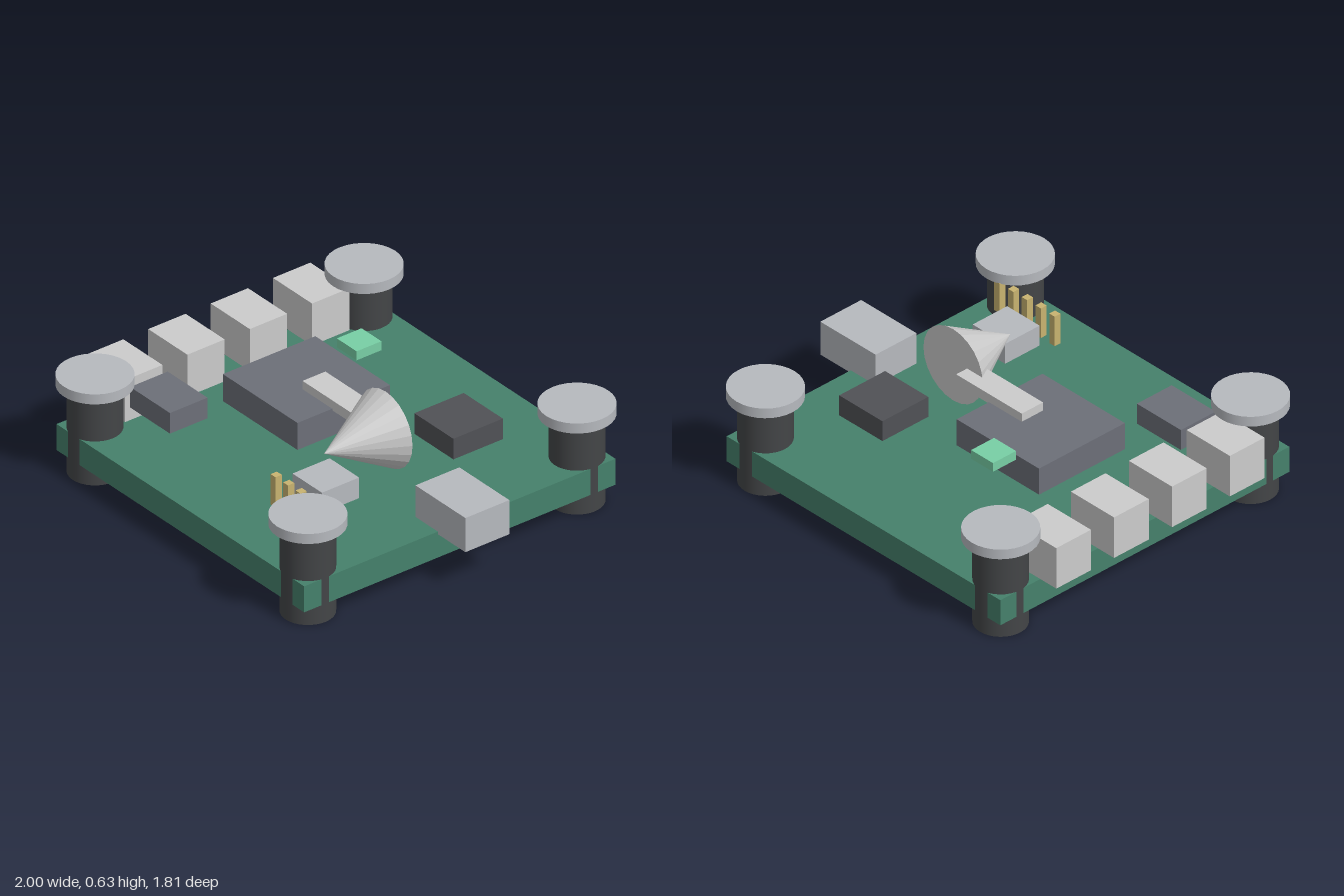
import * as THREE from 'three';

const material = (color, flatShading = false) => new THREE.MeshStandardMaterial({ color, flatShading });

export function createModel() {
  const model = new THREE.Group();
  model.name = 'circuitBoard';

  const green = material(0x45806b);
  const steel = material(0xb6b9be);
  const silver = material(0xcfd0d2);
  const slate = material(0x6c6f78);
  const charcoal = material(0x505156);
  const postDark = material(0x434547);
  const mint = material(0x78cfa5);
  const gold = material(0xc8b370);

  const add = (name, geometry, mat, x, y, z) => {
    const mesh = new THREE.Mesh(geometry, mat);
    mesh.name = name;
    mesh.position.set(x, y, z);
    model.add(mesh);
    return mesh;
  };

  // Box given by its extents along each axis
  const box = (name, mat, [x0, x1], [y0, y1], [z0, z1]) =>
    add(name, new THREE.BoxGeometry(x1 - x0, y1 - y0, z1 - z0), mat,
      (x0 + x1) / 2, (y0 + y1) / 2, (z0 + z1) / 2);

  box('board', green, [-0.9, 0.81], [0.09, 0.22], [-0.85, 0.85]);

  // Corner standoffs with wide flat heads
  for (const x of [-0.78, 0.69]) {
    for (const z of [-0.735, 0.735]) {
      add('standoffPost', new THREE.CylinderGeometry(0.122, 0.122, 0.44, 32), postDark, x, 0.22, z);
      add('standoffHead', new THREE.CylinderGeometry(0.17, 0.17, 0.05, 32), steel, x, 0.46, z);
    }
  }

  // Row of sockets along one edge and a single port on the other
  for (const z of [-0.513, -0.173, 0.168, 0.508]) {
    box('sideSocket', silver, [-1, -0.73], [0.22, 0.43], [z - 0.102, z + 0.102]);
  }
  box('rightPort', steel, [0.655, 1], [0.207, 0.378], [-0.12, 0.12]);

  // Chips
  box('processor', slate, [-0.51, 0.005], [0.295, 0.43], [-0.255, 0.25]);
  box('cornerChip', slate, [-0.695, -0.42], [0.31, 0.413], [0.405, 0.61]);
  box('darkChip', charcoal, [0.23, 0.5], [0.31, 0.413], [-0.48, -0.21]);
  box('frontChip', steel, [0.297, 0.5], [0.31, 0.413], [0.305, 0.508]);
  box('indicator', mint, [-0.387, -0.25], [0.425, 0.47], [-0.41, -0.275]);

  // Pointer: flat bar and a cone aimed forward
  box('pointerBar', silver, [-0.2, 0.21], [0.422, 0.472], [-0.065, 0.06]);
  add('pointerCone', new THREE.ConeGeometry(0.185, 0.337, 24), material(0xcccccc, true), 0.298, 0.448, 0.168)
    .rotation.x = Math.PI / 2;

  // Header pins
  for (let i = 0; i < 5; i++) {
    const x = 0.292 + i * 0.086;
    box('headerPin', gold, [x - 0.017, x + 0.017], [0.285, 0.438], [0.576, 0.61]);
  }

  return model;
}
